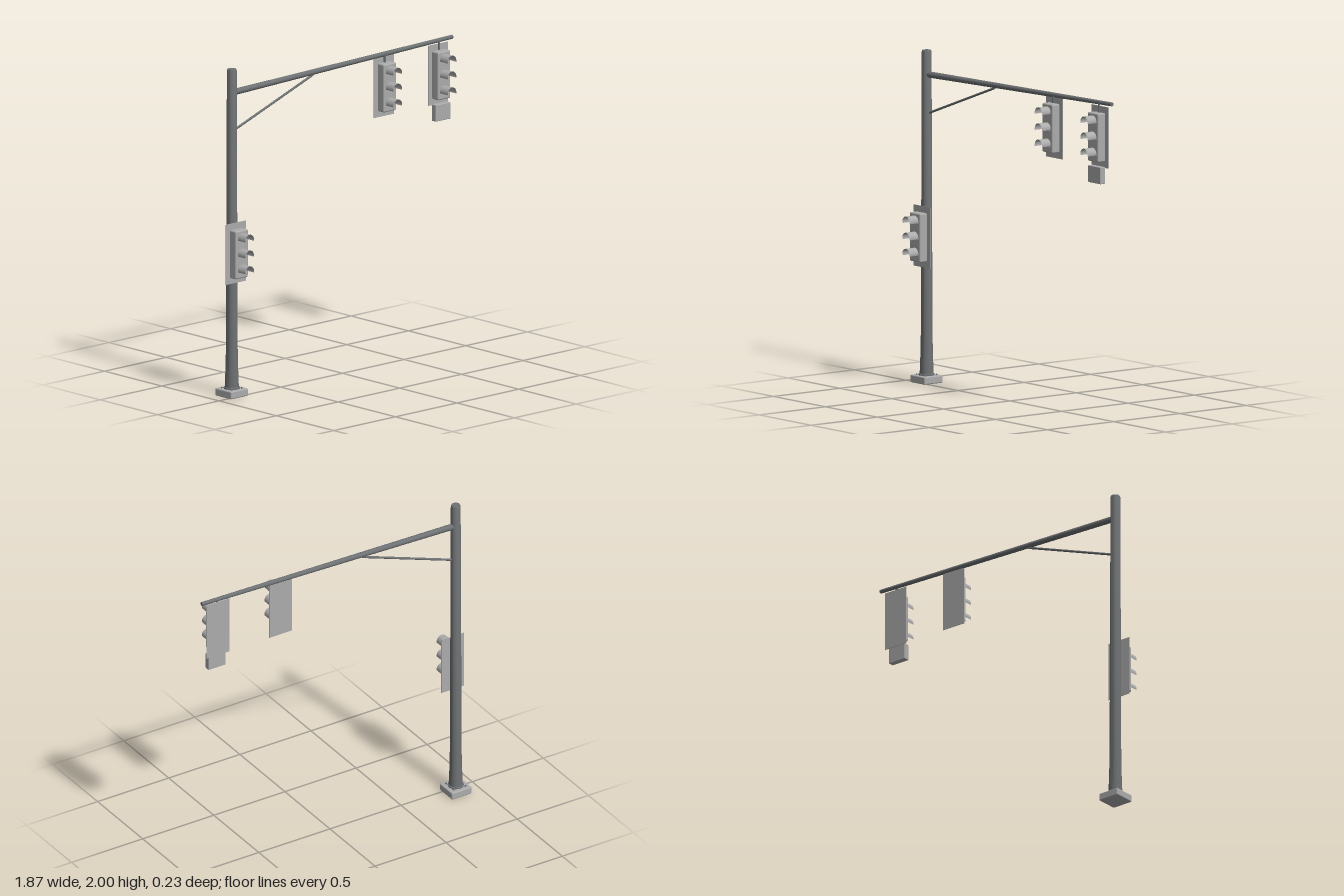
import * as THREE from 'three';
import { toCreasedNormals } from 'three/addons/utils/BufferGeometryUtils.js';
import { RoundedBoxGeometry } from 'three/addons/geometries/RoundedBoxGeometry.js';

const POLE_X = -0.857, POLE_Z = -0.043;

function paint(name, color, side = THREE.FrontSide) {
  const m = new THREE.MeshStandardMaterial({ color, side });
  m.name = name;
  return m;
}

export function createModel() {
  const model = new THREE.Group();
  model.name = 'trafficSignalPole';
  const steel = paint('darkSteel', 0x6e7173);
  const grey = paint('lightGrey', 0xacacac, THREE.DoubleSide);

  function add(parent, name, geometry, material, x = 0, y = 0, z = 0) {
    const mesh = new THREE.Mesh(geometry, material);
    mesh.name = name;
    mesh.position.set(x, y, z);
    parent.add(mesh);
    return mesh;
  }

  // Tapered round bar between two points
  function bar(parent, name, a, b, ra, rb) {
    const from = new THREE.Vector3(...a), to = new THREE.Vector3(...b);
    const dir = to.clone().sub(from);
    const mesh = add(parent, name, new THREE.CylinderGeometry(rb, ra, dir.length(), 20), steel);
    mesh.position.copy(from).add(to).multiplyScalar(0.5);
    mesh.quaternion.setFromUnitVectors(new THREE.Vector3(0, 1, 0), dir.normalize());
  }

  // Foundation plate with anchor bolts
  add(model, 'basePlate', new RoundedBoxGeometry(0.14, 0.046, 0.14, 2, 0.007), grey, POLE_X, 0.023, POLE_Z);
  for (const sx of [-1, 1]) for (const sz of [-1, 1]) {
    add(model, 'anchorBolt', new THREE.CylinderGeometry(0.005, 0.005, 0.01, 8), steel,
      POLE_X + sx * 0.042, 0.048, POLE_Z + sz * 0.042);
  }

  // Tapered pole with a flared foot and flat cap
  const profile = [
    [0, 0.04], [0.048, 0.04], [0.048, 0.054], [0.042, 0.056], [0.038, 0.16], [0.035, 0.3],
    [0.0295, 1.99], [0.026, 2], [0, 2],
  ].map(([r, y]) => new THREE.Vector2(r, y));
  add(model, 'pole', toCreasedNormals(new THREE.LatheGeometry(profile, 24), 0.6), steel, POLE_X, 0, POLE_Z);

  // Mast arm and diagonal brace
  bar(model, 'mastArm', [-0.845, 1.855, POLE_Z], [0.93, 1.895, POLE_Z], 0.019, 0.012);
  bar(model, 'brace', [-0.84, 1.622, POLE_Z], [-0.2, 1.853, POLE_Z], 0.007, 0.007);

  // Open visor: cylinder shell cut away underneath, its axis along z
  const visorGeometry = new THREE.CylinderGeometry(
    0.035, 0.035, 0.067, 20, 1, true, Math.PI / 2 - 0.22, Math.PI + 0.44);
  visorGeometry.rotateX(Math.PI / 2);

  // Three-section signal head; the origin is the middle of the housing's back
  function signalHead(name, x, y, z) {
    const head = new THREE.Group();
    head.name = name;
    head.position.set(x, y, z);
    add(head, 'backplate', new THREE.BoxGeometry(0.16, 0.368, 0.004), grey, 0, 0, 0.001);
    add(head, 'housing', new RoundedBoxGeometry(0.102, 0.294, 0.057, 2, 0.009), grey, 0, 0, 0.0285);
    for (const row of [-1, 0, 1]) {
      add(head, 'visor', visorGeometry, grey, 0, row * 0.097, 0.09);
    }
    model.add(head);
  }

  signalHead('poleSignal', POLE_X, 0.881, -0.01);
  for (const [name, x] of [['innerArmSignal', 0.375], ['outerArmSignal', 0.815]]) {
    signalHead(name, x, 1.688, -0.044);
    add(model, 'hanger', new THREE.CylinderGeometry(0.007, 0.007, 0.06, 12), steel, x, 1.86, -0.034);
  }

  // Small sign box under the outer signal
  add(model, 'signBox', new RoundedBoxGeometry(0.12, 0.102, 0.037, 2, 0.004), grey, 0.815, 1.462, -0.016);

  // Turn the visor opening downwards on every head
  visorGeometry.computeBoundingBox();
  if (visorGeometry.boundingBox.max.y < 0.03) visorGeometry.rotateZ(Math.PI);
  return model;
}
